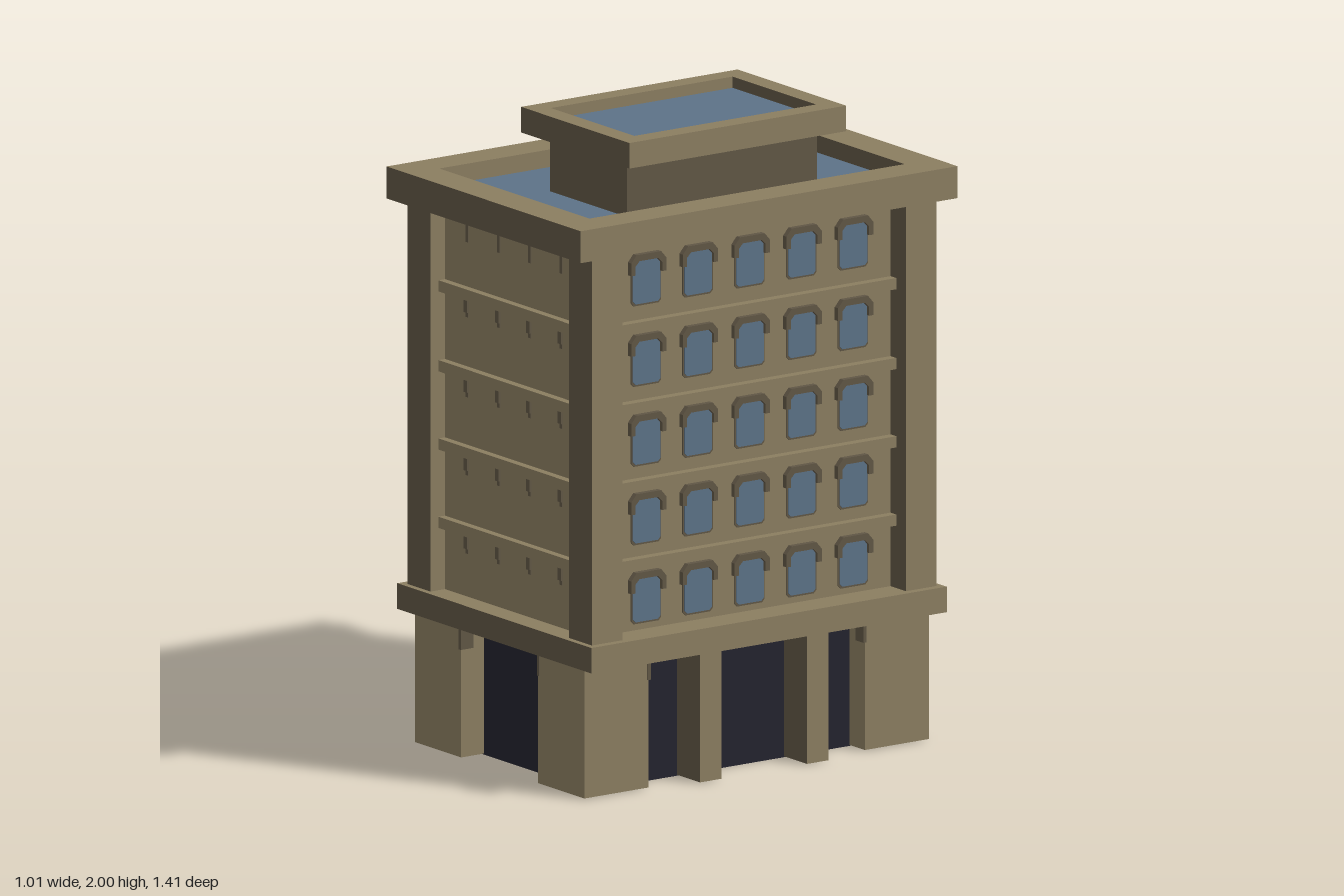
import * as THREE from 'three';

const mat = (name, color) => {
  const m = new THREE.MeshStandardMaterial({ color });
  m.name = name;
  return m;
};

export function createModel() {
  const stone = mat('stone', 0x8a7d60);
  const darkStone = mat('dark stone', 0x605645);
  const glass = mat('blue glass', 0x5c7287);
  const shadow = mat('dark interior', 0x22222d);
  // stone all over, with darker front and back faces
  const banded = [stone, stone, stone, stone, darkStone, darkStone];

  const model = new THREE.Group();
  model.name = 'building';

  // box given by its ranges on each axis
  const box = (name, material, [x0, x1], [y0, y1], [z0, z1], parent = model) => {
    const geo = new THREE.BoxGeometry(x1 - x0, y1 - y0, z1 - z0);
    const mesh = new THREE.Mesh(geo, material);
    mesh.position.set((x0 + x1) / 2, (y0 + y1) / 2, (z0 + z1) / 2);
    mesh.name = name;
    parent.add(mesh);
    return mesh;
  };
  // mirrored range on the side s = 1 or -1
  const side = (s, a, b) => (s > 0 ? [a, b] : [-b, -a]);

  // rectangular rim made of four bars
  const rim = (name, cx, y, ox, oz, ix, iz) => {
    const g = new THREE.Group();
    g.name = name;
    model.add(g);
    for (const s of [1, -1]) {
      const [a, b] = side(s, ix, ox);
      box('sideBar', banded, [cx + a, cx + b], y, [-oz, oz], g);
      box('endBar', banded, [cx - ix, cx + ix], y, side(s, iz, oz), g);
    }
  };

  // ground floor
  box('groundInterior', shadow, [-0.36, 0.36], [0, 0.41], [-0.56, 0.56]);
  for (const sx of [1, -1]) {
    for (const sz of [1, -1]) {
      box('groundCornerPier', stone, side(sx, 0.2, 0.44), [0.003, 0.41], side(sz, 0.405, 0.645));
      box('groundSidePier', banded, side(sx, 0.34, 0.48), [0.003, 0.41], side(sz, 0.16, 0.24));
      // small brackets beside the openings
      box('pierBracket', darkStone, side(sx, 0.198, 0.21), [0.34, 0.41], side(sz, 0.6, 0.648));
      box('pierBracket', darkStone, side(sx, 0.4, 0.443), [0.34, 0.41], side(sz, 0.398, 0.41));
    }
  }
  box('firstFloorSlab', banded, [-0.505, 0.505], [0.41, 0.49], [-0.665, 0.665]);

  // main block and corner pillars
  box('walls', stone, [-0.4, 0.4], [0.49, 1.74], [-0.59, 0.59]);
  for (const sx of [1, -1])
    for (const sz of [1, -1])
      box('cornerPillar', banded, side(sx, 0.36, 0.48), [0.49, 1.7], side(sz, 0.53, 0.645));

  // floor ledges
  for (const y of [0.685, 0.93, 1.175, 1.425])
    box('floorLedge', stone, [-0.43, 0.43], [y, y + 0.035], [-0.615, 0.615]);

  // window outline with clipped corners, origin at its bottom centre
  const outline = (w, h, c) => {
    const s = new THREE.Shape();
    s.moveTo(-w + c / 2, 0);
    s.lineTo(w - c / 2, 0);
    s.lineTo(w, c / 2);
    s.lineTo(w, h - c);
    s.lineTo(w - c, h);
    s.lineTo(-w + c, h);
    s.lineTo(-w, h - c);
    s.lineTo(-w, c / 2);
    s.closePath();
    return s;
  };
  // hood wrapped round the window head
  const hood = new THREE.Shape();
  [[-0.066, 0.1], [-0.05, 0.1], [-0.05, 0.128], [-0.035, 0.143], [0.035, 0.143], [0.05, 0.128],
    [0.05, 0.1], [0.066, 0.1], [0.066, 0.14], [0.046, 0.163], [-0.046, 0.163], [-0.066, 0.14]]
    .forEach(([x, y], i) => (i ? hood.lineTo(x, y) : hood.moveTo(x, y)));
  const slab = (shape, depth) => new THREE.ExtrudeGeometry(shape, { depth, bevelEnabled: false });
  const hoodGeo = slab(hood, 0.018);
  const frameGeo = slab(outline(0.056, 0.15, 0.02), 0.004);
  const paneGeo = slab(outline(0.051, 0.14, 0.018), 0.007);

  // five windows on each floor of both long sides
  for (const sx of [1, -1])
    for (const y of [0.51, 0.757, 1.003, 1.253, 1.505])
      for (const z of [-0.387, -0.194, 0, 0.194, 0.387]) {
        const win = new THREE.Group();
        win.name = 'window';
        win.position.set(sx * 0.4, y, z);
        win.rotation.y = (sx * Math.PI) / 2;
        const add = (name, geo, material, dy = 0) => {
          const m = new THREE.Mesh(geo, material);
          m.name = name;
          m.position.y = dy;
          win.add(m);
        };
        add('windowFrame', frameGeo, darkStone);
        add('windowPane', paneGeo, glass, 0.006);
        add('windowHood', hoodGeo, darkStone);
        model.add(win);
      }

  // small brackets under the ledges on both short sides
  for (const y of [0.685, 0.93, 1.175, 1.425, 1.7])
    for (const x of [-0.245, -0.08, 0.08, 0.245])
      for (const sz of [1, -1]) {
        box('ledgeBracket', darkStone, [x - 0.009, x + 0.009], [y - 0.045, y], side(sz, 0.58, 0.598));
        box('ledgeBracketTip', darkStone, [x - 0.004, x + 0.009],
          [y - (y > 1.6 ? 0.1 : 0.06), y], side(sz, 0.58, 0.594));
      }

  // roof with raised cornice
  box('roofDeck', glass, [-0.395, 0.395], [1.735, 1.745], [-0.595, 0.595]);
  rim('cornice', 0, [1.7, 1.8], 0.505, 0.705, 0.39, 0.59);

  // rooftop housing with its own rim
  box('housing', darkStone, [-0.14, 0.26], [1.74, 1.93], [-0.355, 0.355]);
  box('housingSoffit', darkStone, [-0.16, 0.28], [1.922, 1.955], [-0.345, 0.345]);
  box('housingRoof', glass, [-0.16, 0.28], [1.955, 1.965], [-0.345, 0.345]);
  rim('housingRim', 0.06, [1.92, 2], 0.282, 0.405, 0.217, 0.34);

  return model;
}
